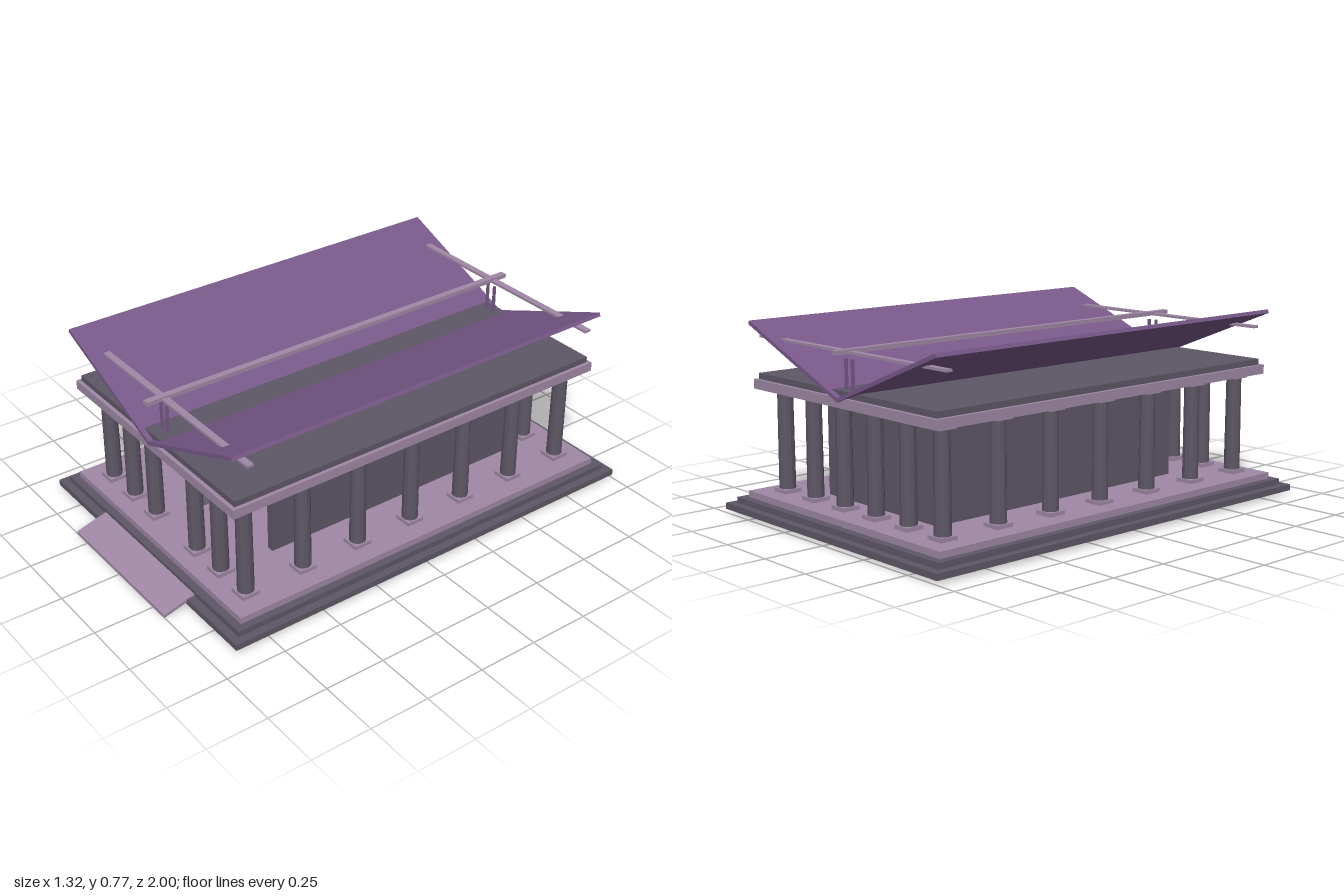
import * as THREE from 'three';

const material = (name, color) => Object.assign(new THREE.MeshStandardMaterial({ color }), { name });

export function createModel() {
  const temple = new THREE.Group();
  temple.name = 'temple';
  const slate = material('slate', 0x5e5766);
  const lilac = material('lilac', 0x9f88a5);
  const purple = material('purple', 0x785889);
  const glow = material('glow', 0xb482d6);

  const add = (name, geometry, mat, x = 0, y = 0, z = 0, parent = temple) => {
    const mesh = new THREE.Mesh(geometry, mat);
    mesh.name = name;
    mesh.position.set(x, y, z);
    parent.add(mesh);
    return mesh;
  };
  // Box given by its limits on each axis
  const block = (name, mat, [x0, x1], [y0, y1], [z0, z1], parent) =>
    add(name, new THREE.BoxGeometry(x1 - x0, y1 - y0, z1 - z0), mat,
      (x0 + x1) / 2, (y0 + y1) / 2, (z0 + z1) / 2, parent);
  const faceted = (geometry) => {
    const g = geometry.toNonIndexed();
    g.computeVertexNormals();
    return g;
  };

  // Stepped base
  block('lowerStep', slate, [-0.66, 0.66], [0.015, 0.04], [-1, 0.9]);
  block('middleStep', slate, [-0.627, 0.627], [0.04, 0.064], [-0.967, 0.867]);
  block('floor', lilac, [-0.595, 0.595], [0.064, 0.09], [-0.933, 0.835]);

  // Entrance ramp, sloping down to the front
  const rampProfile = new THREE.Shape([[0.86, 0.037], [1, 0], [1, 0.012], [0.86, 0.052]]
    .map(([z, y]) => new THREE.Vector2(-z, y)));
  const rampGeometry = new THREE.ExtrudeGeometry(rampProfile, { depth: 0.66, bevelEnabled: false });
  rampGeometry.translate(0, 0, -0.33).rotateY(Math.PI / 2);
  add('entranceRamp', rampGeometry, lilac);

  // Columns with square bases and capitals
  const shaft = faceted(new THREE.CylinderGeometry(0.031, 0.033, 0.382, 12));
  const slab = new THREE.BoxGeometry(0.076, 0.016, 0.076);
  const column = (x, z) => {
    const group = new THREE.Group();
    group.name = 'column';
    group.position.set(x, 0, z);
    temple.add(group);
    add('columnBase', slab, lilac, 0, 0.098, 0, group);
    add('columnShaft', shaft, slate, 0, 0.297, 0, group);
    add('columnCapital', slab, lilac, 0, 0.496, 0, group);
  };
  const frontZ = 0.735, backZ = -0.825, sideX = 0.48;
  for (const side of [-1, 1]) {
    for (let i = 0; i < 7; i++) column(side * sideX, frontZ + (backZ - frontZ) * i / 6);
    for (const x of [0.148, 0.313]) column(side * x, frontZ);
    for (const x of [0.096, 0.288]) column(side * x, backZ);
  }

  // Inner hall, open at the front
  for (const s of [-1, 1]) {
    const outer = s * 0.33, inner = s * 0.3;
    block('hallSideWall', slate, [Math.min(outer, inner), Math.max(outer, inner)], [0.09, 0.488], [-0.73, 0.51]);
  }
  block('hallBackWall', slate, [-0.3, 0.3], [0.09, 0.488], [-0.73, -0.7]);

  // Altar with a three-sided shard
  block('altarStep', lilac, [-0.118, 0.118], [0.09, 0.18], [-0.05, 0.1]);
  block('altar', slate, [-0.092, 0.092], [0.1, 0.175], [0.1, 0.34]);
  const shard = new THREE.ConeGeometry(0.173, 0.12, 3);
  shard.rotateY(-Math.PI / 2).rotateZ(-Math.PI / 2).scale(1, 1, 1.25);
  add('shard', faceted(shard), slate, 0, 0.197, 0.42);

  // Pedestals carrying glowing orbs
  for (const s of [-1, 1]) {
    add('orbPedestal', new THREE.CylinderGeometry(0.036, 0.036, 0.07, 12), lilac, s * 0.213, 0.125, 0.2);
    add('orb', new THREE.SphereGeometry(0.028, 12, 8), glow, s * 0.213, 0.18, 0.2);
  }

  // Entablature and ceiling slab
  block('entablature', lilac, [-0.56, 0.56], [0.503, 0.541], [-0.915, 0.828]);
  block('ceilingSlab', slate, [-0.545, 0.545], [0.541, 0.565], [-0.9, 0.812]);

  // Butterfly roof: two slabs rising outward from the valley
  const roofLength = 1.757, roofZ = -0.045;
  for (const s of [-1, 1]) {
    const profile = new THREE.Shape([[0, 0.525], [0.574, 0.756], [0.568, 0.77], [0, 0.541]]
      .map(([x, y]) => new THREE.Vector2(s * x, y)));
    const wing = new THREE.ExtrudeGeometry(profile, { depth: roofLength, bevelEnabled: false });
    add('roofWing', wing, purple, 0, 0, roofZ - roofLength / 2);
  }

  // Ridge pole, cross bars and paired posts above the valley
  block('ridgePole', lilac, [-0.014, 0.014], [0.7, 0.717], [-0.93, 0.836]);
  for (const z of [-0.863, 0.757]) {
    block('crossBar', lilac, [-0.57, 0.57], [0.7, 0.71], [z - 0.014, z + 0.014]);
    for (const x of [-0.02, 0.02]) {
      block('roofPost', purple, [x - 0.005, x + 0.005], [0.53, 0.68], [z - 0.005, z + 0.005]);
    }
  }

  return temple;
}
